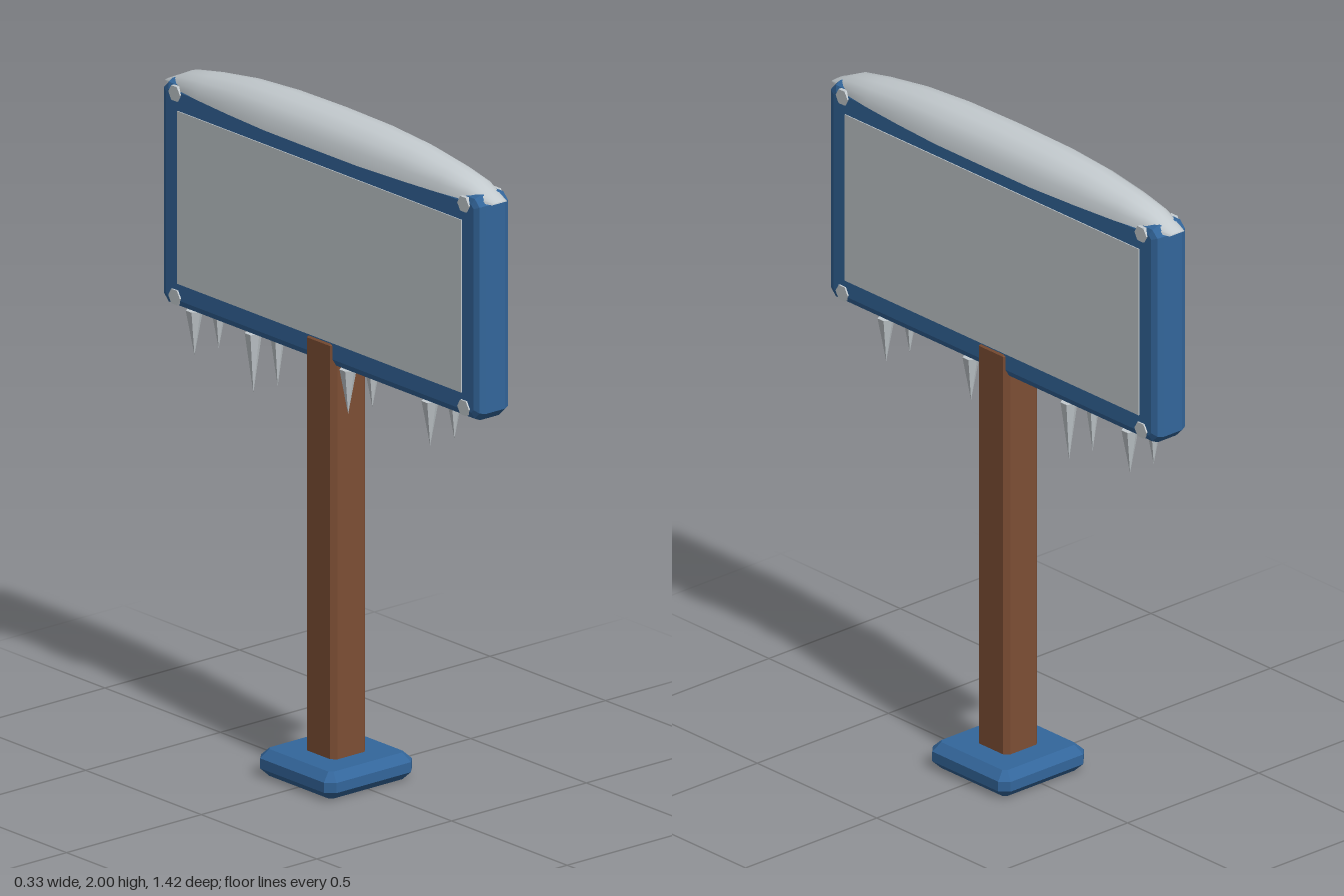
import * as THREE from 'three';
import { mergeVertices } from 'three/addons/utils/BufferGeometryUtils.js';

const mat = (name, color) => {
  const m = new THREE.MeshStandardMaterial({ color });
  m.name = name;
  return m;
};

// Box with bevelled edges, extruded along z and centred on the origin
function bevelBox(w, h, d, bevel, segments = 1) {
  const x = w / 2 - bevel, y = h / 2 - bevel;
  const shape = new THREE.Shape([
    new THREE.Vector2(-x, -y), new THREE.Vector2(x, -y),
    new THREE.Vector2(x, y), new THREE.Vector2(-x, y),
  ]);
  // cut the outline corners so the bevel runs round them too
  const c = bevel, r = new THREE.Shape();
  const pts = [[w / 2 - c, -h / 2], [w / 2, -h / 2 + c], [w / 2, h / 2 - c], [w / 2 - c, h / 2],
    [-w / 2 + c, h / 2], [-w / 2, h / 2 - c], [-w / 2, -h / 2 + c], [-w / 2 + c, -h / 2]];
  const k = 1 - bevel * 0.9 / Math.max(w, h);
  pts.forEach(([px, py], i) => (i ? r.lineTo(px, py) : r.moveTo(px, py)));
  r.closePath();
  const g = new THREE.ExtrudeGeometry(k > 0 ? r : shape, {
    depth: d - 2 * bevel, bevelEnabled: true, bevelThickness: bevel,
    bevelSize: bevel, bevelOffset: -bevel, bevelSegments: segments,
  });
  return g.translate(0, 0, -(d - 2 * bevel) / 2);
}

// Snow drift: half-ellipse cross-sections lofted along z
function snowGeometry() {
  const half = [[0.2, 0.097, 0.097], [0.37, 0.086, 0.087], [0.52, 0.072, 0.066],
    [0.62, 0.057, 0.047], [0.708, 0.028, 0.004]];
  const rings = [...half.map(([z, w, h]) => [-z, w, h]).reverse(), [0, 0.098, 0.1], ...half];
  const n = 8, pos = [], idx = [];
  for (const [z, w, h] of rings) {
    for (let i = 0; i <= n; i++) {
      const a = Math.PI * i / n;
      pos.push(w * Math.cos(a), 1.9 + h * Math.sin(a), z);
    }
  }
  const row = n + 1;
  for (let r = 0; r < rings.length - 1; r++) {
    for (let i = 0; i < n; i++) {
      const a = r * row + i, b = a + 1, c = a + row, d = c + 1;
      idx.push(a, b, c, b, d, c);
    }
  }
  const g = new THREE.BufferGeometry();
  g.setAttribute('position', new THREE.Float32BufferAttribute(pos, 3));
  g.setIndex(idx);
  // turn the faces outward
  for (let i = 0; i < idx.length; i += 3) [idx[i + 1], idx[i + 2]] = [idx[i + 2], idx[i + 1]];
  g.setIndex(idx);
  const out = mergeVertices(g);
  out.computeVertexNormals();

  // flat underside
  const outline = [...rings.map(([z, w]) => new THREE.Vector2(w, z)),
    ...rings.map(([z, w]) => new THREE.Vector2(-w, z)).reverse()];
  const under = new THREE.ShapeGeometry(new THREE.Shape(outline));
  under.rotateX(Math.PI / 2).translate(0, 1.9, 0);
  return [out, under];
}

export function createModel() {
  const model = new THREE.Group();
  model.name = 'snowySign';
  const blue = mat('bluePaint', 0x33669b);
  const wood = mat('brownWood', 0x7d4e34);
  const pale = mat('paleSnow', 0xc4cbcf);
  pale.side = THREE.DoubleSide;

  const add = (name, geo, material, x = 0, y = 0, z = 0) => {
    const m = new THREE.Mesh(geo, material);
    m.name = name;
    m.position.set(x, y, z);
    model.add(m);
    return m;
  };

  // Foot and post
  add('base', bevelBox(0.326, 0.326, 0.08, 0.025).rotateX(Math.PI / 2), blue, 0, 0.043);
  add('post', bevelBox(0.13, 0.13, 1.27, 0.015).rotateX(Math.PI / 2), wood, 0, 0.695);

  // Sign board
  add('frame', bevelBox(1.38, 0.67, 0.12, 0.025, 2).rotateY(Math.PI / 2), blue, 0, 1.585);

  const icicle = new THREE.ConeGeometry(0.025, 1, 6).toNonIndexed();
  icicle.rotateX(Math.PI).translate(0, -0.5, 0);
  icicle.computeVertexNormals();
  const bolt = new THREE.CylinderGeometry(0.025, 0.025, 0.012, 6).toNonIndexed();
  bolt.rotateZ(Math.PI / 2);
  bolt.computeVertexNormals();

  for (const s of [1, -1]) {
    // Face panel
    add('panel', new THREE.BoxGeometry(0.006, 0.515, 1.23), pale, s * 0.06, 1.5825);
    // Corner bolts
    for (const z of [0.625, -0.625]) {
      for (const y of [1.283, 1.89]) add('bolt', bolt, pale, s * 0.059, y, z);
    }
    // Icicles under the frame
    for (const [z, len] of [[0.46, 0.135], [0.105, 0.135], [-0.305, 0.18], [-0.56, 0.135]]) {
      add('icicle', icicle, pale, s * 0.045, 1.257, z).scale.y = len;
    }
  }

  // Snow on top
  const [drift, under] = snowGeometry();
  add('snowCap', drift, pale);
  add('snowUnderside', under, pale);
  return model;
}
